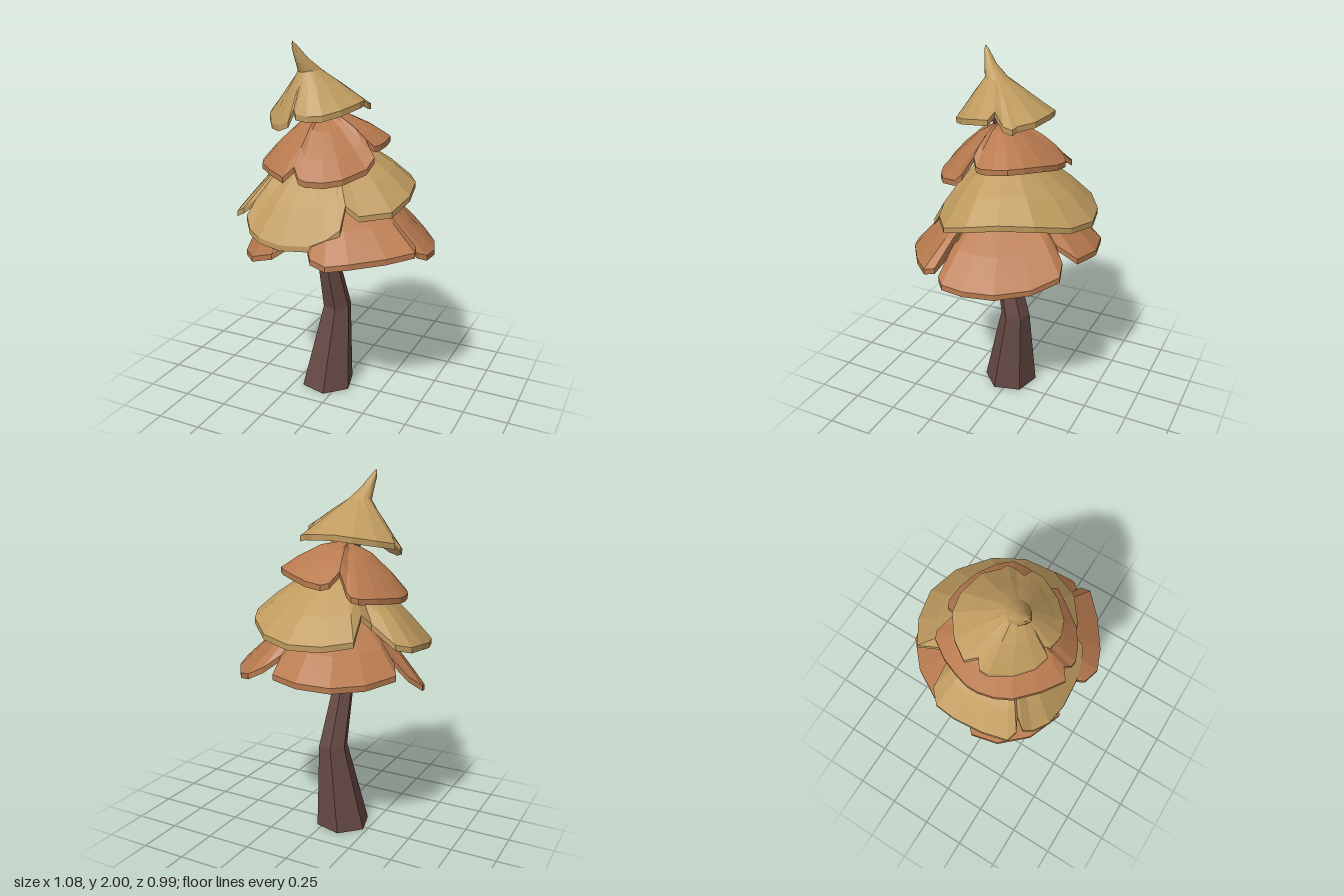
import * as THREE from 'three';

const V = (x, y, z) => new THREE.Vector3(x, y, z);

// Skin a sequence of closed rings (each counter-clockwise seen from above, top to bottom)
function loft(rows, color, name) {
  const pos = [];
  const tri = (a, b, c) => {
    const area = b.clone().sub(a).cross(c.clone().sub(a)).length();
    if (area > 1e-7) for (const p of [a, b, c]) pos.push(p.x, p.y, p.z);
  };
  for (let j = 0; j < rows.length - 1; j++) {
    const up = rows[j], low = rows[j + 1], n = up.length;
    for (let i = 0; i < n; i++) {
      const k = (i + 1) % n;
      tri(up[i], low[i], low[k]);
      tri(up[i], low[k], up[k]);
    }
  }
  const geo = new THREE.BufferGeometry();
  geo.setAttribute('position', new THREE.Float32BufferAttribute(pos, 3));
  geo.computeVertexNormals();
  const mat = new THREE.MeshStandardMaterial({ color, flatShading: true, side: THREE.DoubleSide });
  const mesh = new THREE.Mesh(geo, mat);
  mesh.name = name;
  return mesh;
}

// Bent six-sided trunk; each station is [x, y, z, radius]
function trunk() {
  const stations = [
    [-0.105, 1.72, 0.1, 0], [-0.105, 1.72, 0.1, 0.04], [-0.08, 1.35, 0.06, 0.045],
    [-0.055, 1.0, 0.025, 0.055], [-0.06, 0.8, 0.042, 0.062], [-0.04, 0.49, -0.033, 0.083],
    [-0.08, 0, 0.015, 0.155], [-0.08, 0, 0.015, 0],
  ];
  const rows = stations.map(([x, y, z, r]) => Array.from({ length: 6 }, (_, i) => {
    const a = Math.PI / 4 + (i * Math.PI) / 3;
    return V(x + r * Math.cos(a), y, z - r * Math.sin(a));
  }));
  return loft(rows, 0x664a45, 'trunk');
}

// Thin lobed skirt: rings down the stem, then flaring out to the notched rim
function tier(name, color, stem, bulge, rimPoints) {
  const rim = rimPoints.map(([x, y, z]) => V(x, y, z));
  const [cx, , cz] = stem[stem.length - 1];
  const outer = stem.map(([x, y, z, r]) => rim.map((p) => {
    const a = Math.atan2(p.z - cz, p.x - cx);
    return V(x + r * Math.cos(a), y, z + r * Math.sin(a));
  }));
  const last = outer[outer.length - 1];
  for (const t of [0.4, 0.75, 1]) {
    outer.push(rim.map((p, i) => {
      const q = last[i].clone().lerp(p, t);
      q.y += bulge * Math.sin(Math.PI * t);
      return q;
    }));
  }
  const inner = outer.map((row) => row.map((p) => V(p.x, p.y - 0.018, p.z))).reverse();
  // lift the outside so that the lower edge sits on the rim heights
  for (const row of outer.slice(stem.length)) for (const p of row) p.y += 0.012;
  return loft([...outer, ...inner], color, name);
}

export function createModel() {
  const tree = new THREE.Group();
  tree.name = 'tree';
  const TAN = 0xbf9b5f, RUST = 0xb87a4f;
  tree.add(trunk());

  // Rims run back, left, front, right: [x, y, z]
  tree.add(tier('lowestFoliage', RUST, [[-0.05, 1.29, 0.03, 0]], 0.06, [
    [0.09, 0.99, -0.45], [-0.07, 0.98, -0.495], [-0.245, 0.97, -0.46], [-0.38, 0.97, -0.34],
    [-0.475, 0.99, -0.18], [-0.43, 1.03, -0.1], [-0.36, 1.06, -0.04],
    [-0.46, 0.93, 0.02], [-0.52, 0.87, 0.08], [-0.48, 0.83, 0.22], [-0.36, 0.86, 0.36],
    [-0.19, 0.93, 0.44], [-0.12, 0.98, 0.38], [-0.04, 1.04, 0.29],
    [0.01, 0.98, 0.42], [0.045, 0.95, 0.465], [0.14, 0.935, 0.49], [0.25, 0.95, 0.445],
    [0.405, 0.965, 0.335], [0.515, 0.98, 0.225], [0.5, 0.99, 0.17], [0.38, 1.05, 0.14],
    [0.5, 0.95, 0.15], [0.54, 0.93, 0.11], [0.54, 0.92, -0.01], [0.49, 0.91, -0.16],
    [0.38, 0.92, -0.315], [0.26, 0.96, -0.42], [0.18, 1.0, -0.4], [0.11, 1.06, -0.33],
  ]));

  tree.add(tier('lowerMiddleFoliage', TAN, [[-0.06, 1.53, 0.04, 0]], 0.04, [
    [0.15, 1.19, -0.43], [-0.02, 1.17, -0.485], [-0.19, 1.17, -0.45], [-0.325, 1.19, -0.365],
    [-0.29, 1.29, -0.21], [-0.33, 1.24, -0.17], [-0.465, 1.15, -0.175], [-0.53, 1.13, -0.115],
    [-0.54, 1.12, 0], [-0.52, 1.09, 0.16], [-0.485, 1.08, 0.29], [-0.43, 1.11, 0.31],
    [-0.37, 1.16, 0.28], [-0.4, 1.08, 0.33], [-0.36, 1.02, 0.37], [-0.275, 1.0, 0.42],
    [-0.145, 0.985, 0.437], [0.02, 1.0, 0.425], [0.105, 1.04, 0.4], [0.165, 1.09, 0.365],
    [0.165, 1.2, 0.3], [0.235, 1.15, 0.29], [0.37, 1.16, 0.185], [0.41, 1.21, 0.035],
    [0.38, 1.24, -0.13], [0.295, 1.23, -0.29],
  ]));

  tree.add(tier('upperMiddleFoliage', RUST, [[-0.08, 1.635, 0.07, 0]], 0.03, [
    [-0.01, 1.45, -0.28], [-0.1, 1.44, -0.29], [-0.14, 1.45, -0.27], [-0.165, 1.5, -0.205],
    [-0.23, 1.41, -0.255], [-0.26, 1.39, -0.265], [-0.295, 1.38, -0.25], [-0.355, 1.37, -0.16],
    [-0.39, 1.36, -0.07], [-0.41, 1.35, 0.01], [-0.41, 1.35, 0.07], [-0.39, 1.35, 0.155],
    [-0.35, 1.35, 0.235], [-0.245, 1.35, 0.335], [-0.13, 1.34, 0.41], [-0.085, 1.39, 0.37],
    [-0.05, 1.34, 0.395], [-0.01, 1.33, 0.4], [0.075, 1.325, 0.365], [0.15, 1.335, 0.31],
    [0.23, 1.37, 0.19], [0.25, 1.42, 0.135], [0.185, 1.5, 0.1], [0.22, 1.46, 0.07],
    [0.235, 1.46, 0.03], [0.245, 1.47, -0.035], [0.235, 1.48, -0.115], [0.18, 1.48, -0.18],
    [0.09, 1.47, -0.24],
  ]));

  const tip = [[-0.17, 2.0, 0.208, 0], [-0.165, 1.98, 0.2, 0.012], [-0.14, 1.91, 0.165, 0.033],
    [-0.118, 1.85, 0.12, 0.06]];
  tree.add(tier('topFoliage', TAN, tip, -0.005, [
    [0.02, 1.67, -0.165], [-0.115, 1.68, -0.192], [-0.22, 1.67, -0.175], [-0.32, 1.65, -0.1],
    [-0.38, 1.63, -0.01], [-0.34, 1.66, 0.045], [-0.375, 1.61, 0.07], [-0.37, 1.59, 0.11],
    [-0.3, 1.565, 0.21], [-0.22, 1.57, 0.28], [-0.15, 1.6, 0.305], [-0.135, 1.66, 0.27],
    [-0.11, 1.64, 0.3], [-0.04, 1.635, 0.31], [0.03, 1.64, 0.285], [0.1, 1.66, 0.21],
    [0.15, 1.685, 0.1], [0.15, 1.69, 0.037], [0.095, 1.72, 0.025], [0.13, 1.66, -0.04],
    [0.13, 1.65, -0.09], [0.095, 1.66, -0.1],
  ]));
  return tree;
}
